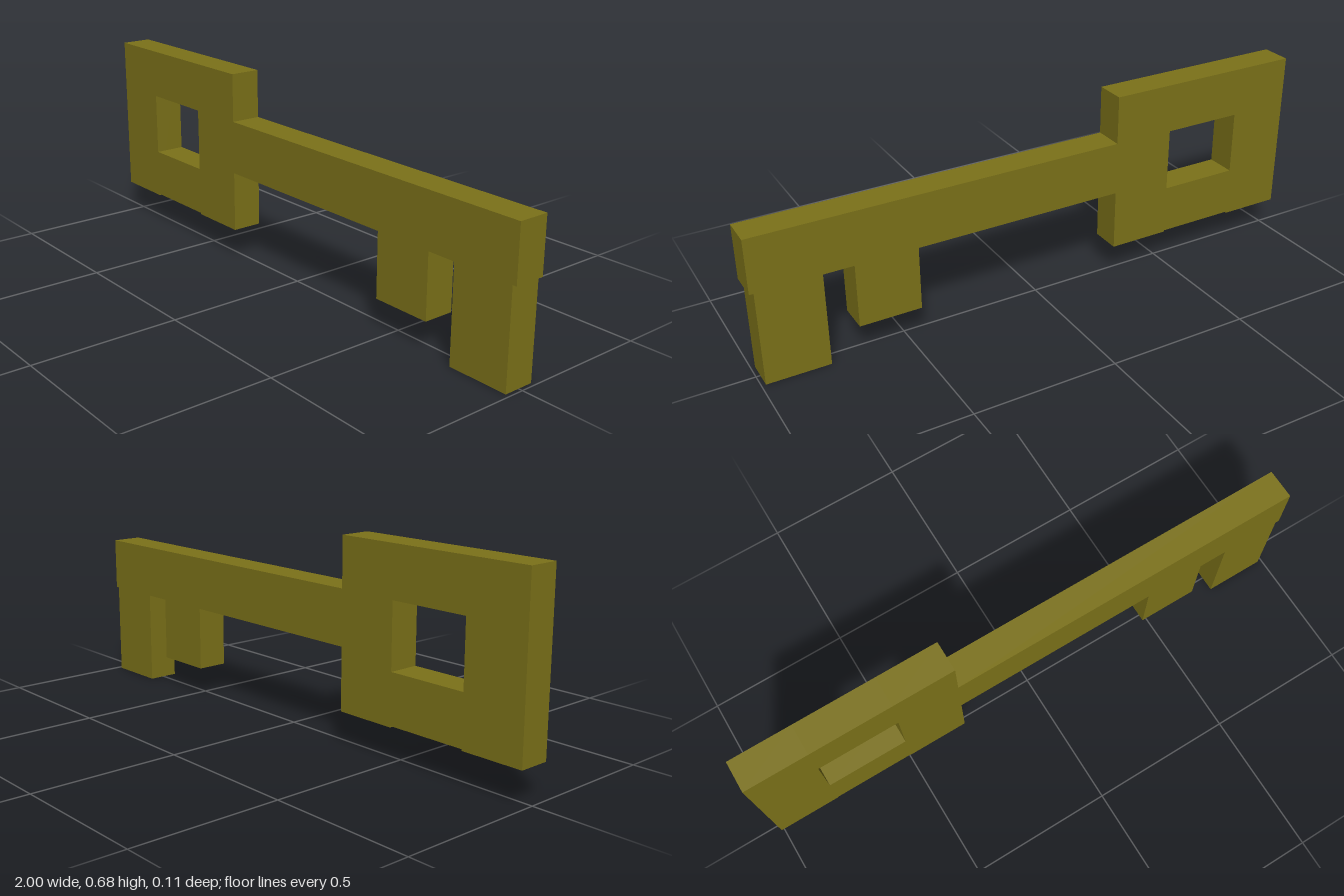
import * as THREE from 'three';

const DEPTH = 0.107;

export function createModel() {
  const key = new THREE.Group();
  key.name = 'key';
  const material = new THREE.MeshStandardMaterial({ color: 0x7c7219 });

  // Box given by its extents in x and y, all of the same thickness
  function bar(parent, name, x0, x1, y0, y1) {
    const mesh = new THREE.Mesh(new THREE.BoxGeometry(x1 - x0, y1 - y0, DEPTH), material);
    mesh.name = name;
    mesh.position.set((x0 + x1) / 2, (y0 + y1) / 2, 0);
    parent.add(mesh);
  }

  // Square bow: four bars around the hole, the lower one slightly recessed
  const bow = new THREE.Group();
  bow.name = 'bow';
  bar(bow, 'bowOuterBar', -1, -0.785, 0.117, 0.683);
  bar(bow, 'bowInnerBar', -0.503, -0.287, 0.117, 0.683);
  bar(bow, 'bowTopBar', -0.785, -0.503, 0.512, 0.683);
  bar(bow, 'bowBottomBar', -0.785, -0.503, 0.122, 0.292);
  key.add(bow);

  // Shank
  bar(key, 'shank', -0.287, 1, 0.329, 0.515);

  // Teeth: a short one and a long one at the tip
  bar(key, 'shortTooth', 0.454, 0.669, 0.106, 0.329);
  bar(key, 'longTooth', 0.771, 0.986, 0, 0.329);

  return key;
}
